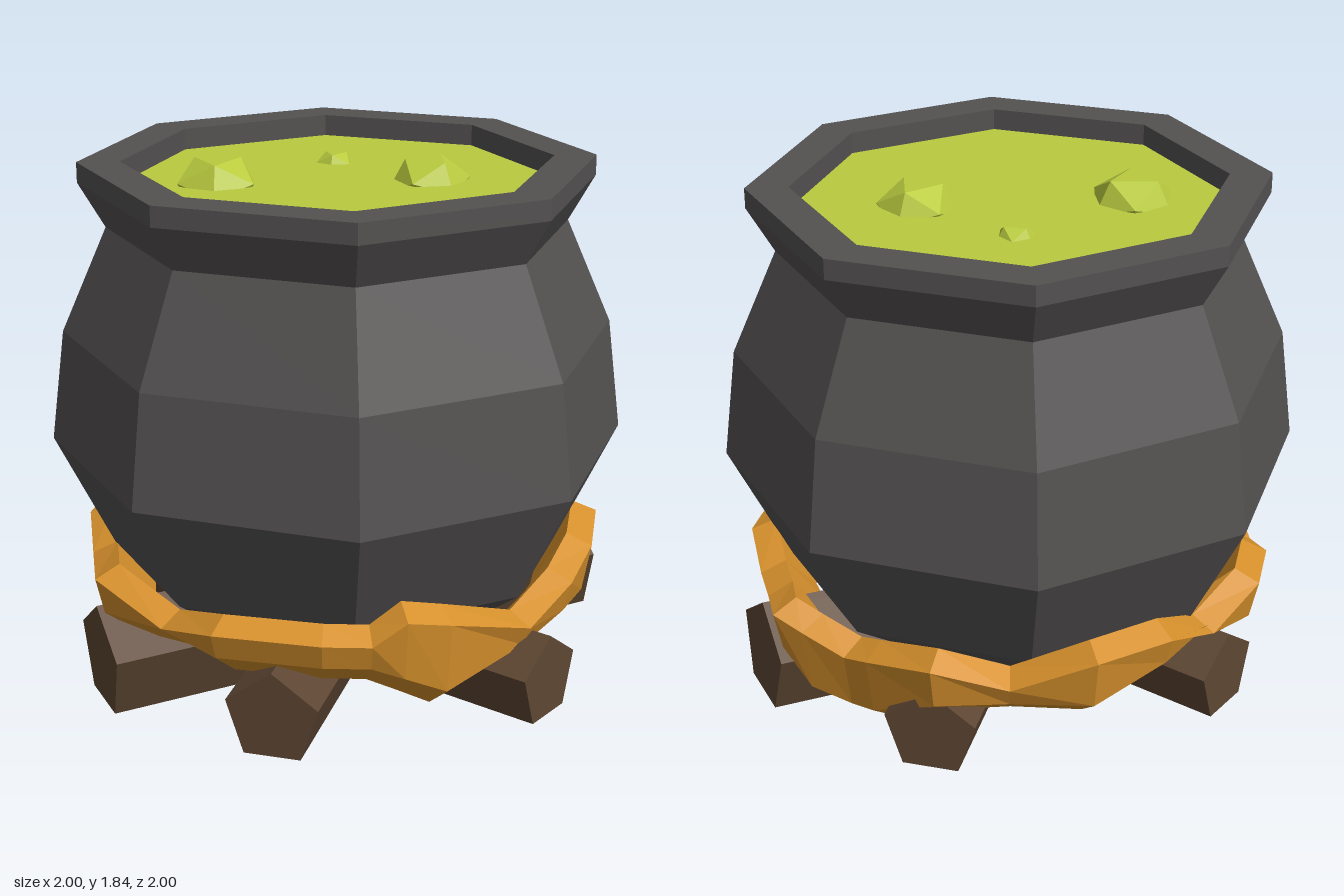
import * as THREE from 'three';

const mat = (name, color) => {
  const m = new THREE.MeshStandardMaterial({ color });
  m.name = name;
  return m;
};

// Faceted copy of a geometry: every face gets its own normal
const faceted = (geo) => {
  const g = geo.index ? geo.toNonIndexed() : geo;
  g.computeVertexNormals();
  return g;
};

export function createModel() {
  const iron = mat('iron', 0x545151);
  const brew = mat('brew', 0xbacb3f);
  const fire = mat('fire', 0xd6902c);
  const wood = mat('wood', 0x5e4733);

  const model = new THREE.Group();
  model.name = 'cauldron';
  const add = (name, geo, material, parent = model) => {
    const mesh = new THREE.Mesh(faceted(geo), material);
    mesh.name = name;
    parent.add(mesh);
    return mesh;
  };

  // Eight-sided pot: base, belly, neck, flared rim and inner lip
  const profile = [
    [0, 0.23], [0.48, 0.23], [0.8, 0.47], [1, 0.87], [0.95, 1.26],
    [0.79, 1.625], [0.88, 1.78], [0.88, 1.85], [0.735, 1.85], [0.735, 1.74],
  ].map(([r, y]) => new THREE.Vector2(r, y));
  add('pot', new THREE.LatheGeometry(profile, 8), iron);

  // Brew surface
  const surface = new THREE.CircleGeometry(0.735, 8);
  surface.rotateX(-Math.PI / 2);
  add('brewSurface', surface, brew).position.y = 1.775;

  // Bubbles: squashed icosahedra with a flat triangle on top
  const bubbles = new THREE.Group();
  bubbles.name = 'bubbles';
  model.add(bubbles);
  const faceUp = new THREE.Quaternion().setFromUnitVectors(
    new THREE.Vector3(-1, 1, 1).normalize(), new THREE.Vector3(0, 1, 0));
  [[-0.29, -0.29, 0.15, 0.3], [0.21, -0.2, 0.07, 0.1], [0.22, 0.22, 0.14, 0.9]].forEach(([x, z, r, turn]) => {
    const g = new THREE.IcosahedronGeometry(r, 0);
    g.applyQuaternion(faceUp);
    g.rotateY(turn);
    g.scale(1, 0.72, 1);
    add('bubble', g, brew, bubbles).position.set(x, 1.765, z);
  });

  // Ring of flames: angle from the front, top height, bottom height, outer radius
  const flame = [
    [-2, 0.43, 0.22, 0.88], [15, 0.5, 0.25, 0.89], [28, 0.56, 0.25, 0.91], [44, 0.59, 0.25, 0.93],
    [54, 0.5, 0.26, 0.91], [64, 0.5, 0.26, 0.92], [74, 0.53, 0.25, 0.97], [80, 0.49, 0.12, 0.92],
    [90, 0.44, 0.1, 0.87], [97, 0.47, 0.12, 0.88], [114, 0.54, 0.25, 0.94], [130, 0.46, 0.25, 0.89],
    [147, 0.59, 0.27, 0.97], [164, 0.59, 0.35, 0.95], [182, 0.46, 0.34, 0.88], [198, 0.54, 0.26, 0.93],
    [212, 0.54, 0.22, 0.92], [225, 0.47, 0.24, 0.88], [250, 0.54, 0.27, 0.94], [270, 0.46, 0.3, 0.89],
    [286, 0.53, 0.3, 0.96], [308, 0.53, 0.3, 0.95], [318, 0.51, 0.28, 0.92], [325, 0.59, 0.24, 0.93],
    [335, 0.55, 0.16, 0.91],
  ];
  const rings = flame.map(([deg, top, bottom, r]) => {
    const a = THREE.MathUtils.degToRad(deg);
    return [
      [r - 0.09, top], [r, top - 0.04], [r - 0.03, bottom + 0.1], [r - 0.16, bottom], [r - 0.22, bottom + 0.06],
    ].map(([d, y]) => [Math.sin(a) * d, y, Math.cos(a) * d]);
  });
  const verts = [];
  rings.forEach((ring, i) => {
    const next = rings[(i + 1) % rings.length];
    ring.forEach((p, k) => {
      const k1 = (k + 1) % ring.length;
      verts.push(...p, ...ring[k1], ...next[k1], ...p, ...next[k1], ...next[k]);
    });
  });
  const flameGeo = new THREE.BufferGeometry();
  flameGeo.setAttribute('position', new THREE.Float32BufferAttribute(verts, 3));
  add('flames', flameGeo, fire);

  // Crossed five-sided logs, ridge upwards
  const logs = new THREE.Group();
  logs.name = 'logs';
  model.add(logs);
  const addLog = (name, from, to, r) => {
    const a = new THREE.Vector3(...from);
    const b = new THREE.Vector3(...to);
    const g = new THREE.CylinderGeometry(r, r, a.distanceTo(b), 5);
    g.rotateX(-Math.PI / 2);
    const log = add(name, g, wood, logs);
    log.position.copy(a).add(b).multiplyScalar(0.5);
    log.lookAt(b);
  };
  addLog('longLog', [0.86, 0.245, 0.41], [-0.83, 0.17, -0.37], 0.2);
  addLog('crossLog', [-0.83, 0.215, 0.44], [0.82, 0.22, -0.34], 0.165);
  addLog('frontLog', [0, 0.21, 0.94], [-0.12, 0.21, -0.88], 0.16);

  return model;
}
